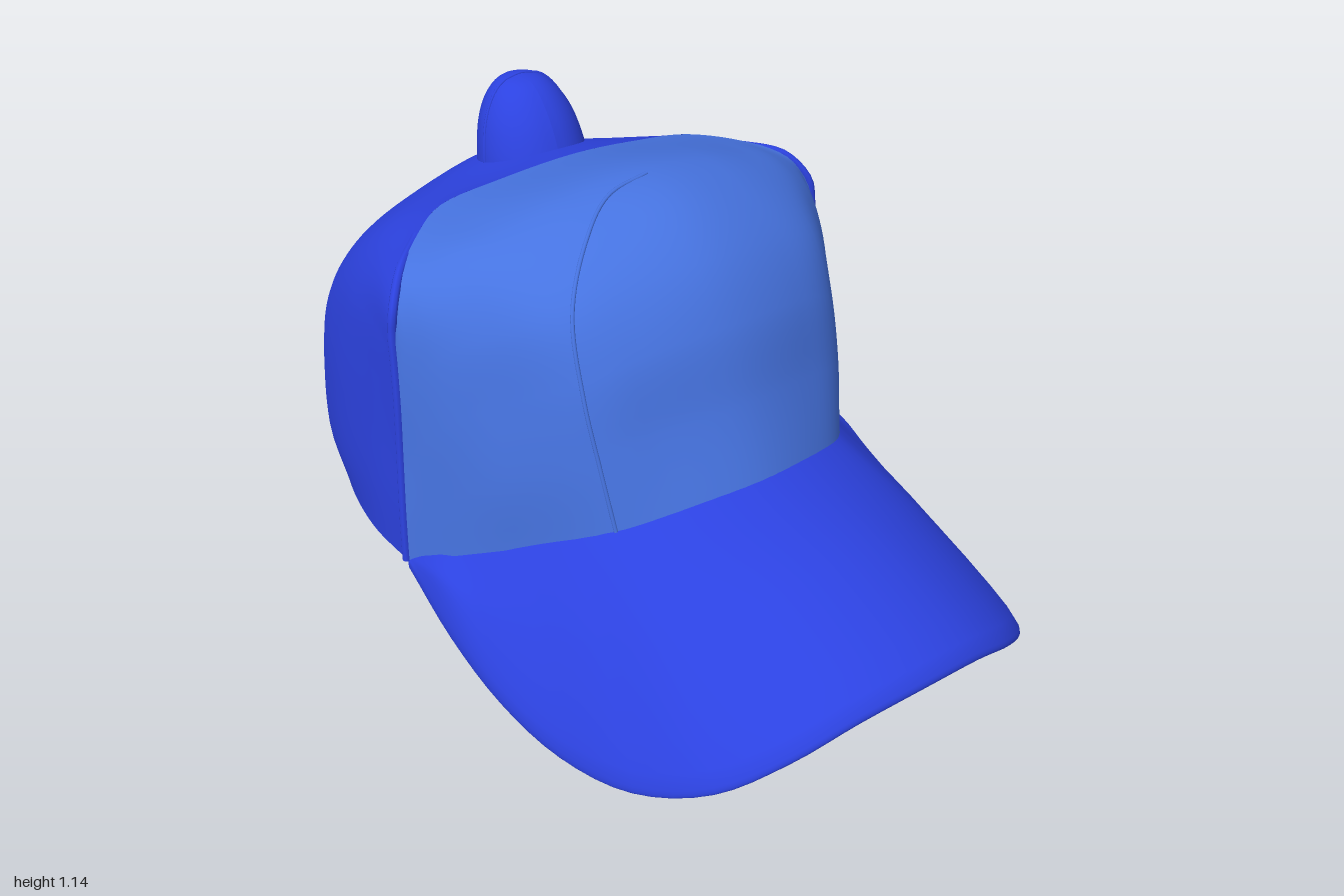
import * as THREE from 'three';
import { ParametricGeometry } from 'three/addons/geometries/ParametricGeometry.js';

const V = (p) => new THREE.Vector3(...p);
const flip = (col) => col.map(([x, y, z]) => [-x, y, z]);
const mirrored = (half) => [...half, ...half.slice(0, -1).reverse().map(flip)];

// Smooth surface through columns of points: u runs across columns, v along them
function patch(columns) {
  const curves = columns.map((c) => new THREE.CatmullRomCurve3(c.map(V)));
  return (u, v, target) => {
    const row = new THREE.CatmullRomCurve3(curves.map((c) => c.getPoint(v)));
    return target.copy(row.getPoint(u));
  };
}

function tube(points, radius) {
  return new THREE.TubeGeometry(new THREE.CatmullRomCurve3(points), 40, radius, 8);
}

// Shared edge between front panel and back shell
const sideSeam = [[.635, .19, -.1], [.63, .32, -.105], [.622, .47, -.11], [.617, .62, -.11],
  [.614, .72, -.115], [.612, .79, -.12], [.602, .85, -.125]];
const topSeam = [[.555, .915, -.17], [.47, .948, -.25], [.36, .965, -.33], [.2, .99, -.325], [0, 1.01, -.31]];

// Front panel columns, side to centre, from brim to top seam
const frontHalf = [
  sideSeam,
  [[.56, .26, .04], [.56, .42, .03], [.56, .6, .01], [.555, .76, -.02], [.555, .84, -.06], [.555, .885, -.11], topSeam[0]],
  [[.48, .31, .15], [.485, .48, .14], [.485, .67, .1], [.48, .82, .06], [.475, .91, -.01], [.47, .95, -.1], topSeam[1]],
  [[.33, .405, .335], [.345, .58, .29], [.355, .75, .24], [.36, .88, .17], [.36, .96, .06], [.36, .995, -.06], topSeam[2]],
  [[.2, .445, .4], [.21, .62, .34], [.215, .8, .29], [.21, .93, .21], [.2, 1.01, .1], [.2, 1.045, -.04], topSeam[3]],
  [[0, .465, .44], [0, .64, .375], [0, .82, .32], [0, .95, .24], [0, 1.04, .12], [0, 1.07, -.03], topSeam[4]],
];

// Back shell columns, side to rear centre, from curled rim to top seam
const backHalf = [
  sideSeam,
  [[.627, .175, -.3], [.627, .33, -.3], [.618, .5, -.29], [.609, .64, -.27], [.6, .76, -.24], [.588, .85, -.2], topSeam[0]],
  [[.57, .155, -.545], [.587, .25, -.555], [.583, .45, -.55], [.572, .61, -.515], [.553, .75, -.46], [.52, .86, -.375], topSeam[1]],
  [[.465, .14, -.765], [.487, .2, -.79], [.487, .38, -.795], [.478, .565, -.762], [.458, .725, -.665], [.428, .87, -.5], topSeam[2]],
  [[.285, .138, -.905], [.31, .19, -.945], [.312, .38, -.952], [.3, .58, -.9], [.275, .75, -.775], [.243, .888, -.59], topSeam[3]],
  [[0, .142, -.945], [0, .19, -.99], [0, .4, -.998], [0, .6, -.96], [0, .79, -.81], [0, .92, -.64], topSeam[4]],
];

// Brim edges, side to centre
const brimInner = [[.63, .2, -.1], [.6, .235, -.03], [.55, .265, .04], [.48, .315, .14], [.4, .37, .25],
  [.325, .41, .33], [.22, .442, .385], [.11, .462, .42], [0, .47, .43]];
const brimOuter = [[.635, .19, -.1], [.64, .11, .1], [.63, .05, .3], [.6, .022, .5], [.545, .045, .7],
  [.45, .115, .86], [.32, .195, .945], [.17, .255, .985], [0, .275, 1]];

// Closed brim section: over the top, round the edge and back underneath
function brimColumn(inner, i) {
  const outer = brimOuter[i];
  const bulge = i === 0 ? 0 : .03;
  const mid = inner.map((a, k) => (a + outer[k]) / 2 + (k === 1 ? bulge : 0));
  const under = ([x, y, z]) => [x, y - .02, z];
  return [inner, mid, outer, under(outer), under(mid), under(inner)];
}

export function createModel() {
  const group = new THREE.Group();
  const blue = new THREE.MeshStandardMaterial({ color: 0x2c42e0, side: THREE.DoubleSide });
  blue.name = 'royal blue';
  const light = new THREE.MeshStandardMaterial({ color: 0x4673e0, side: THREE.DoubleSide });
  light.name = 'light blue';
  const add = (name, geometry, material) => {
    const mesh = new THREE.Mesh(geometry, material);
    mesh.name = name;
    group.add(mesh);
    return mesh;
  };

  // Crown
  const frontSurface = patch(mirrored(frontHalf.map(flip)));
  add('frontPanel', new ParametricGeometry(frontSurface, 50, 36), light);
  add('backShell', new ParametricGeometry(patch(mirrored(backHalf)), 60, 36), blue);

  // Piping where the shell meets the front panel, sinking in at its upper end
  for (const s of [1, -1]) {
    const path = [...sideSeam, topSeam[0], [.46, .935, -.265]].map(([x, y, z]) => V([x * s, y, z - .008]));
    add(s > 0 ? 'leftPiping' : 'rightPiping', tube(path, .011), blue);
  }

  // Stitched seam curving over the front panel
  const seam = [[.3, 0], [.3, .15], [.3, .3], [.32, .5], [.38, .67], [.44, .78], [.5, .81]]
    .map(([u, v]) => frontSurface(u, v, new THREE.Vector3()));
  add('frontSeam', tube(seam, .005), light);

  // Brim
  add('brim', new ParametricGeometry(patch(mirrored(brimInner.map(brimColumn))), 64, 25), blue);

  // Button: a dome leaning backwards
  const lean = (y) => -.52 - Math.max(0, y - .95) * .22;
  const profile = new THREE.SplineCurve([[.142, .89], [.135, .97], [.118, 1.04], [.088, 1.095], [.05, 1.127], [0, 1.137]]
    .map(([r, y]) => new THREE.Vector2(r, y)));
  const dome = new THREE.LatheGeometry(profile.getPoints(20), 36);
  const pos = dome.attributes.position;
  for (let i = 0; i < pos.count; i++) pos.setZ(i, pos.getZ(i) + lean(pos.getY(i)));
  dome.computeVertexNormals();
  add('topButton', dome, blue).position.x = .01;

  // Raised seam across the button
  const half = profile.getPoints(10).map((p) => [p.x, p.y, lean(p.y)]);
  const arc = [...half, ...flip(half).reverse().slice(1)].map(V);
  add('buttonSeam', tube(arc, .004), blue).position.x = .01;

  return group;
}
